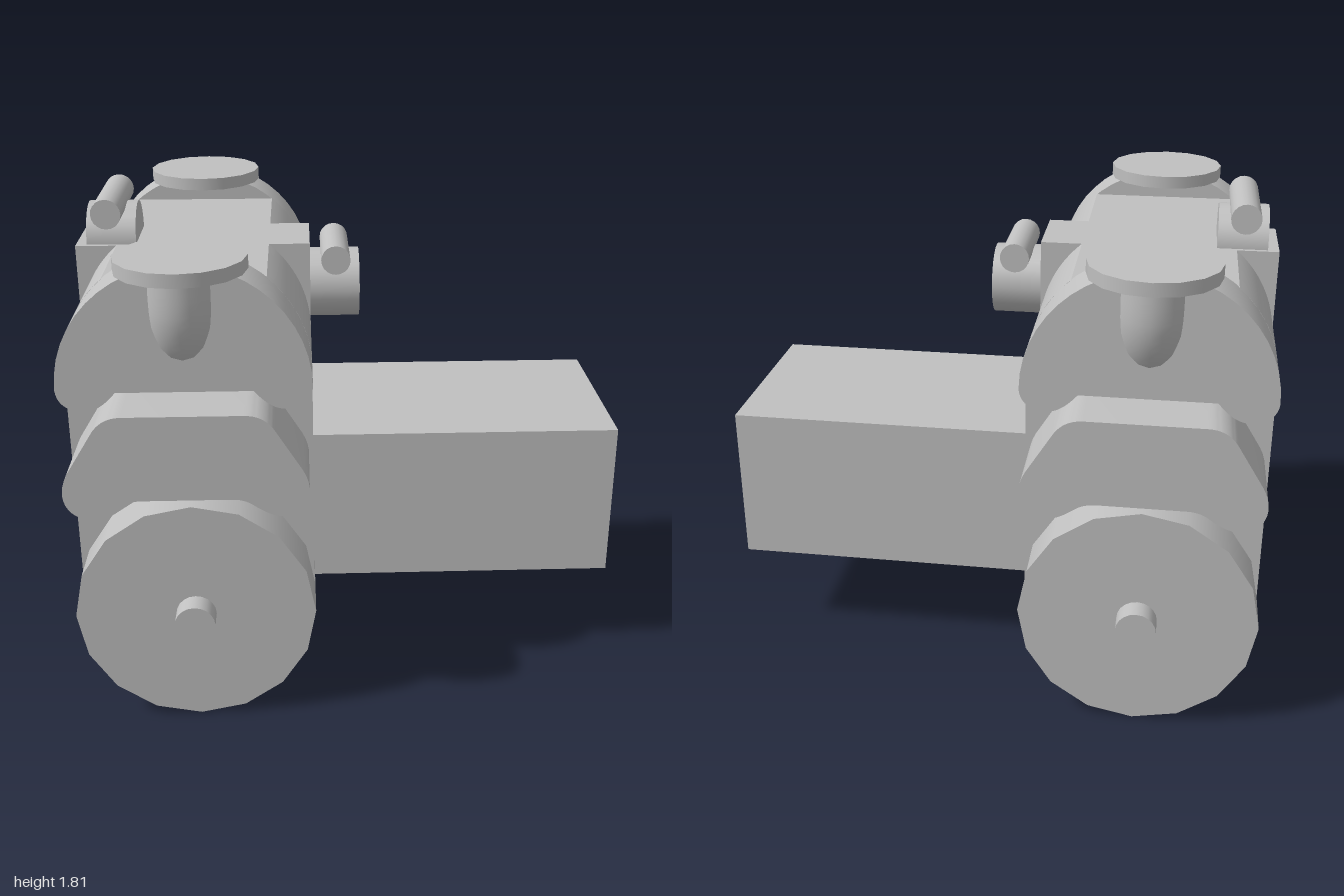
import * as THREE from 'three';
import { toCreasedNormals } from 'three/addons/utils/BufferGeometryUtils.js';

export function createModel() {
  const model = new THREE.Group();
  model.name = 'machineHousing';
  const grey = new THREE.MeshStandardMaterial({ color: 0xc0c0c0 });
  grey.name = 'plainGrey';

  const CX = -0.5725, R = 0.4275, CROWN = 1.3;

  const add = (name, geo, x = 0, y = 0, z = 0) => {
    const mesh = new THREE.Mesh(geo, grey);
    mesh.name = name;
    mesh.position.set(x, y, z);
    model.add(mesh);
    return mesh;
  };
  const box = (name, x0, x1, y0, y1, halfZ) =>
    add(name, new THREE.BoxGeometry(x1 - x0, y1 - y0, 2 * halfZ), (x0 + x1) / 2, (y0 + y1) / 2, 0);
  const rodZ = (name, r, len, x, y, sides = 20) =>
    add(name, new THREE.CylinderGeometry(r, r, len, sides).rotateX(Math.PI / 2), x, y, 0);
  const rodX = (name, r, x0, x1, y) =>
    add(name, new THREE.CylinderGeometry(r, r, x1 - x0, 24).rotateZ(Math.PI / 2), (x0 + x1) / 2, y, 0);
  // Extrude a front profile from z0 to z1, smooth round the curves
  const slab = (name, shape, z0, z1) => {
    const geo = new THREE.ExtrudeGeometry(shape, { depth: z1 - z0, bevelEnabled: false, curveSegments: 12 });
    return add(name, toCreasedNormals(geo, 0.6), CX, 0, z0);
  };

  // Main body: straight sides, rounded shoulders, flat top
  const a = Math.asin((1.625 - CROWN) / R);
  const body = new THREE.Shape();
  body.moveTo(-R, 0.43);
  body.lineTo(R, 0.43);
  body.lineTo(R, CROWN);
  body.absarc(0, CROWN, R, 0, a, false);
  body.lineTo(-R * Math.cos(a), 1.625);
  body.absarc(0, CROWN, R, Math.PI - a, Math.PI, false);
  body.lineTo(-R, 0.43);
  slab('mainBody', body, -0.56, 0.56);

  // Lower drum with its axle
  rodZ('lowerDrum', R + 0.002, 1.49, CX, 0.43, 16);
  rodZ('axle', 0.072, 1.65, CX, 0.43);

  // Side box
  box('sideBox', -0.145, 1, 0.36, 0.955, 0.37);

  // Square shoulder block carrying the two ports
  box('shoulderBlock', -1, -0.145, CROWN, 1.625, 0.147);
  rodX('sidePort', 0.13, -0.2, 0.04, 1.435);
  rodZ('sidePortRod', 0.054, 0.335, -0.05, 1.565);
  rodX('topPort', 0.13, -0.96, -0.78, 1.625);
  rodZ('topPortRod', 0.054, 0.41, -0.873, 1.755);

  // Crown-shaped end cover
  const crown = new THREE.Shape();
  crown.moveTo(R, CROWN);
  crown.absarc(0, CROWN, R, 0, Math.PI, false);
  crown.quadraticCurveTo(-0.42, 1.225, -0.33, 1.225);
  crown.quadraticCurveTo(-0.285, 1.225, -0.23, 1.29);
  crown.lineTo(0.23, 1.29);
  crown.quadraticCurveTo(0.285, 1.225, 0.33, 1.225);
  crown.quadraticCurveTo(0.42, 1.225, R, CROWN);

  // Saddle-shaped lobe below it
  const lobe = new THREE.Shape();
  lobe.moveTo(0.2, 1.25);
  lobe.lineTo(-0.2, 1.25);
  lobe.quadraticCurveTo(-0.265, 1.25, -0.3, 1.195);
  lobe.lineTo(-0.39, 1.05);
  lobe.bezierCurveTo(-0.44, 0.96, -0.4, 0.88, -0.32, 0.88);
  lobe.quadraticCurveTo(-0.28, 0.88, -0.22, 0.925);
  lobe.quadraticCurveTo(-0.19, 0.945, -0.15, 0.945);
  lobe.lineTo(0.15, 0.945);
  lobe.quadraticCurveTo(0.19, 0.945, 0.22, 0.925);
  lobe.quadraticCurveTo(0.28, 0.88, 0.32, 0.88);
  lobe.bezierCurveTo(0.4, 0.88, 0.44, 0.96, 0.39, 1.05);
  lobe.lineTo(0.3, 1.195);
  lobe.quadraticCurveTo(0.265, 1.25, 0.2, 1.25);

  // Matching fittings on the front and back
  for (const [side, s] of [['front', 1], ['back', -1]]) {
    const span = (d0, d1) => (s > 0 ? [d0, d1] : [-d1, -d0]);
    slab(side + 'CrownCover', crown, ...span(0.55, 0.745));
    slab(side + 'Lobe', lobe, ...span(0.55, 0.86));

    // Elbow pipe curving down from the flange into the cover
    const pts = [new THREE.Vector3(0, 1.7, s * 0.6875)];
    for (let i = 0; i <= 8; i++) {
      const t = (i / 8) * 1.3;
      pts.push(new THREE.Vector3(0, 1.6 - 0.2425 * Math.sin(t), s * (0.445 + 0.2425 * Math.cos(t))));
    }
    add(side + 'ElbowPipe',
      new THREE.TubeGeometry(new THREE.CatmullRomCurve3(pts), 20, 0.1175, 20), CX, 0, 0);
    add(side + 'Flange', new THREE.CylinderGeometry(0.222, 0.222, 0.047, 16), CX, 1.7125, s * 0.655);
  }
  return model;
}
